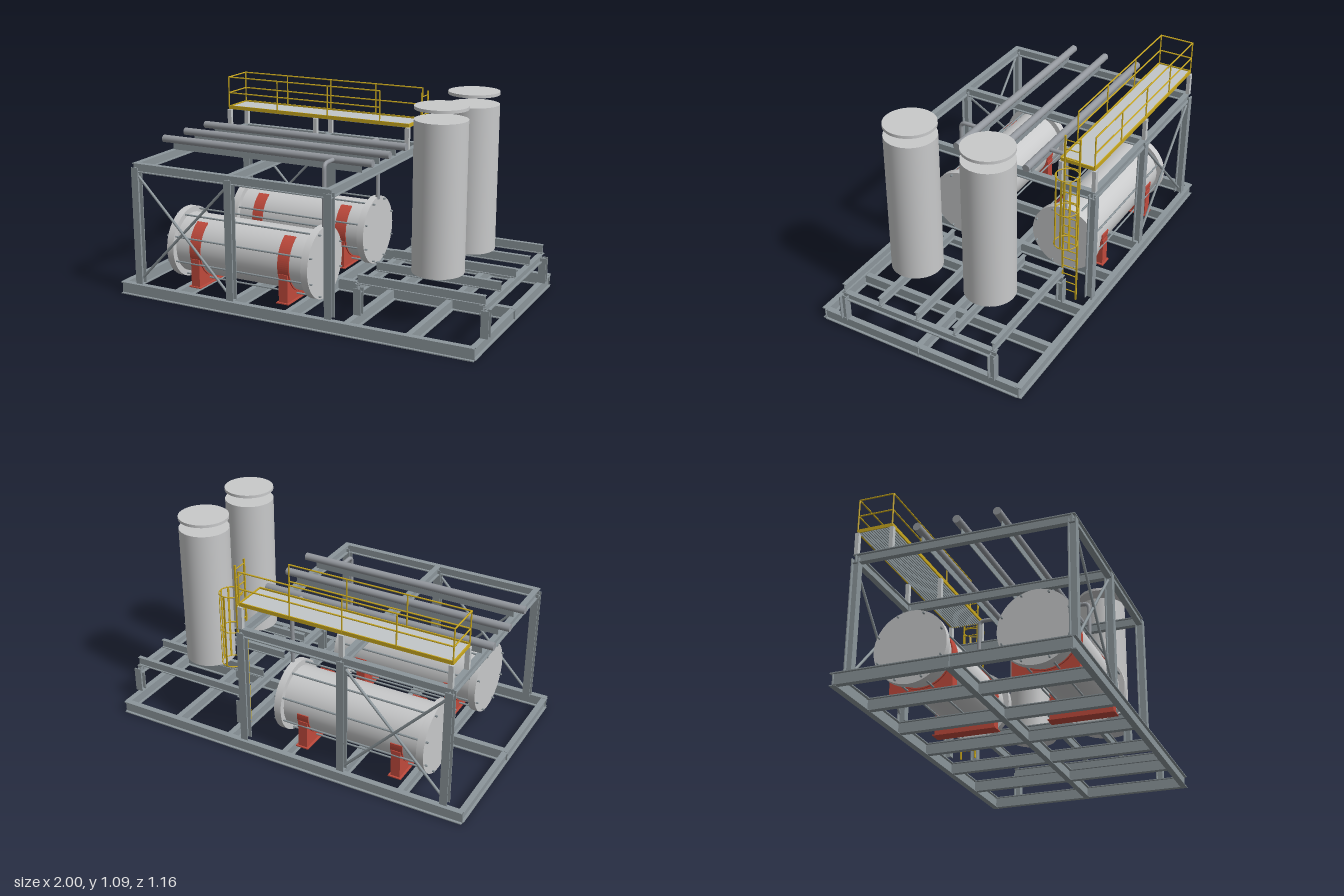
import * as THREE from 'three';

const mat = (name, color) => {
  const m = new THREE.MeshStandardMaterial({ color, side: THREE.DoubleSide });
  m.name = name;
  return m;
};

export function createModel() {
  const root = new THREE.Group();
  const steel = mat('steelGrey', 0x8c969b);
  const pipeGrey = mat('pipeGrey', 0x94989e);
  const shell = mat('tankGrey', 0xc8c9ca);
  const deckGrey = mat('deckGrey', 0xc2c6c8);
  const red = mat('saddleRed', 0xc04a3c);
  const yellow = mat('safetyYellow', 0xc9a81e);

  const V = (x, y, z) => new THREE.Vector3(x, y, z);
  const group = (name, parent = root) => {
    const g = new THREE.Group();
    g.name = name;
    parent.add(g);
    return g;
  };
  const add = (parent, name, geo, m, x = 0, y = 0, z = 0) => {
    const mesh = new THREE.Mesh(geo, m);
    mesh.name = name;
    mesh.position.set(x, y, z);
    parent.add(mesh);
    return mesh;
  };
  // Box given by its extents
  const box = (p, name, m, x0, x1, y0, y1, z0, z1) =>
    add(p, name, new THREE.BoxGeometry(x1 - x0, y1 - y0, z1 - z0), m, (x0 + x1) / 2, (y0 + y1) / 2, (z0 + z1) / 2);
  // Round bar between two points
  const rod = (p, name, m, a, b, r, seg = 8) => {
    const d = b.clone().sub(a);
    const mesh = add(p, name, new THREE.CylinderGeometry(r, r, d.length(), seg), m);
    mesh.position.copy(a).add(b).multiplyScalar(0.5);
    mesh.quaternion.setFromUnitVectors(V(0, 1, 0), d.normalize());
    return mesh;
  };
  // I-section beam centred on x, y, z and running along one axis
  const beam = (p, name, axis, len, h, w, x, y, z, t = 0.005) => {
    const H = h / 2, W = w / 2, s = t / 2;
    const pts = [[-W, -H], [W, -H], [W, -H + t], [s, -H + t], [s, H - t], [W, H - t], [W, H], [-W, H],
      [-W, H - t], [-s, H - t], [-s, -H + t], [-W, -H + t]].map(q => new THREE.Vector2(...q));
    const geo = new THREE.ExtrudeGeometry(new THREE.Shape(pts), { depth: len, bevelEnabled: false });
    geo.translate(0, 0, -len / 2);
    if (axis === 'x') geo.rotateY(Math.PI / 2);
    if (axis === 'y') geo.rotateX(-Math.PI / 2);
    return add(p, name, geo, steel, x, y, z);
  };

  // Base skid
  const base = group('baseFrame');
  for (const z of [-0.562, 0, 0.562]) beam(base, 'baseLongBeam', 'x', 1.97, 0.065, 0.032, -0.005, 0.0325, z);
  for (let i = 0; i < 7; i++) beam(base, 'baseCrossBeam', 'z', 1.12, 0.062, 0.03, -0.98 + i * 0.325, 0.0325, 0);

  // Main portal frame
  const frame = group('mainFrame');
  const bays = [-0.885, -0.33, 0.225];
  for (const s of [-1, 1]) {
    for (const x of bays) beam(frame, 'column', 'y', 0.625, 0.04, 0.04, x, 0.3775, s * 0.54);
    beam(frame, 'topLongBeam', 'x', 1.14, 0.047, 0.03, -0.33, 0.689, s * 0.54);
    rod(frame, 'brace', steel, V(-0.87, 0.1, s * 0.54), V(-0.35, 0.645, s * 0.54), 0.007);
    rod(frame, 'brace', steel, V(-0.87, 0.645, s * 0.545), V(-0.35, 0.1, s * 0.545), 0.007);
  }
  for (const x of bays) beam(frame, 'topCrossBeam', 'z', 1.08, 0.047, 0.03, x, 0.689, 0);

  // Header pipes on thin shoes
  const pipes = group('headerPipes');
  for (const z of [-0.2, 0, 0.2]) {
    rod(pipes, 'headerPipe', pipeGrey, V(-0.95, 0.765, z), V(0.29, 0.765, z), 0.02, 24);
    box(pipes, 'pipeShoe', steel, -0.89, 0.23, 0.712, 0.748, z - 0.002, z + 0.002);
  }

  // Horizontal vessels with end flanges, tie rods and saddles
  const TY = 0.257;
  for (const s of [-1, 1]) {
    const z = s * 0.31;
    const vessel = group('horizontalVessel');
    rod(vessel, 'vesselShell', shell, V(-0.71, TY, z), V(0.045, TY, z), 0.157, 48);
    rod(vessel, 'endFlange', shell, V(-0.745, TY, z), V(-0.707, TY, z), 0.187, 48);
    rod(vessel, 'endFlange', shell, V(0.042, TY, z), V(0.08, TY, z), 0.187, 48);
    for (let i = 0; i < 8; i++) {
      const a = (i + 0.5) * Math.PI / 4, y = TY + 0.174 * Math.sin(a), bz = z + 0.174 * Math.cos(a);
      rod(vessel, 'tieRod', steel, V(-0.758, y, bz), V(0.093, y, bz), 0.005);
    }
    for (const x of [-0.59, -0.07]) {
      // Wrap strap: local x becomes +z after the turn
      const strap = new THREE.Shape();
      strap.absarc(0, 0, 0.163, Math.PI / 3, -Math.PI, true);
      strap.absarc(0, 0, 0.155, -Math.PI, Math.PI / 3, false);
      const web = new THREE.Shape();
      web.moveTo(-0.163, -0.187);
      web.lineTo(0.163, -0.187);
      web.lineTo(0.163, -0.04);
      web.lineTo(0.152, -0.04);
      web.absarc(0, 0, 0.157, -0.26, -Math.PI + 0.26, true);
      web.lineTo(-0.163, -0.04);
      for (const [name, shape, d] of [['saddleStrap', strap, 0.064], ['saddle', web, 0.05]]) {
        const geo = new THREE.ExtrudeGeometry(shape, { depth: d, bevelEnabled: false, curveSegments: 32 });
        geo.translate(0, 0, -d / 2).rotateY(-Math.PI / 2);
        add(vessel, name, geo, red, x, TY, z);
      }
      box(vessel, 'saddleFoot', red, x - 0.035, x + 0.035, 0.065, 0.071, z - 0.172, z + 0.172);
    }
    // Riser from vessel to header
    const path = new THREE.CurvePath();
    path.add(new THREE.LineCurve3(V(0.077, 0.43, z), V(0.077, 0.735, z)));
    path.add(new THREE.QuadraticBezierCurve3(V(0.077, 0.735, z), V(0.077, 0.765, z), V(0.077, 0.765, z - s * 0.03)));
    path.add(new THREE.LineCurve3(V(0.077, 0.765, z - s * 0.03), V(0.077, 0.765, s * 0.2)));
    add(vessel, 'riserPipe', new THREE.TubeGeometry(path, 48, 0.011, 12), pipeGrey);
  }

  // Raised stand and upright tanks
  const stand = group('tankStand');
  for (const x of [0.325, 0.98]) {
    beam(stand, 'standCrossBeam', 'z', 0.88, 0.044, 0.03, x === 0.98 ? 0.965 : x, 0.2, 0);
    for (const z of [-0.427, 0.427]) beam(stand, 'standLeg', 'y', 0.135, 0.036, 0.04, x, 0.1325, z);
  }
  for (const z of [-0.425, -0.213, 0, 0.213, 0.425])
    beam(stand, 'standLongBeam', 'x', 0.655, 0.047, 0.022, 0.648, 0.2465, z, 0.004);
  for (const z of [-0.213, 0.213]) {
    const tank = group('uprightTank');
    rod(tank, 'tankBody', shell, V(0.65, 0.272, z), V(0.65, 1.025, z), 0.13, 48);
    rod(tank, 'tankLid', shell, V(0.65, 1.075, z), V(0.65, 1.09, z), 0.13, 48);
  }

  // Walkway deck, toe boards and support posts
  const walk = group('walkway');
  const X0 = -0.89, X1 = 0.23, Z0 = -0.543, Z1 = -0.36;
  box(walk, 'deck', deckGrey, X0, X1, 0.838, 0.843, Z0, Z1);
  for (let i = 0; i < 14; i++) {
    const z = Z0 + 0.01 + i * 0.0125;
    box(walk, 'gratingBar', steel, X0, X1, 0.828, 0.838, z - 0.002, z + 0.002);
  }
  for (const z of [Z0, Z1]) {
    box(walk, 'toeBoard', yellow, X0, X1, 0.832, 0.852, z - 0.003, z + 0.003);
    for (const x of bays) box(walk, 'walkwayPost', deckGrey, x - 0.012, x + 0.012, 0.712, 0.83, z - 0.01, z + 0.01);
  }
  for (const x of [X0, X1]) box(walk, 'toeBoard', yellow, x - 0.003, x + 0.003, 0.832, 0.85, Z0, Z1);

  // Guard rails
  const rails = group('guardRails');
  for (const [z, xEnd, n] of [[Z0, X1, 4], [Z1, 0.06, 3]]) {
    for (const y of [0.925, 1.015]) rod(rails, 'rail', yellow, V(X0, y, z), V(xEnd, y, z), 0.004);
    for (let i = 0; i <= n; i++) {
      const x = X0 + (xEnd - X0) * i / n;
      rod(rails, 'railPost', yellow, V(x, 0.84, z), V(x, 1.017, z), 0.004);
    }
  }
  for (const y of [0.925, 1.015]) rod(rails, 'endRail', yellow, V(X0, y, Z0), V(X0, y, Z1), 0.004);

  // Ladder with safety cage
  const ladder = group('ladder');
  const LX = 0.283, LZ = -0.45;
  for (const z of [LZ - 0.04, LZ + 0.04]) box(ladder, 'ladderStile', yellow, LX - 0.004, LX + 0.004, 0.066, 1.015, z - 0.004, z + 0.004);
  for (let y = 0.11; y < 1; y += 0.049) rod(ladder, 'rung', yellow, V(LX, y, LZ - 0.04), V(LX, y, LZ + 0.04), 0.003);
  for (const y of [0.445, 0.64, 0.838])
    add(ladder, 'cageHoop', new THREE.TorusGeometry(0.058, 0.003, 6, 32).rotateX(Math.PI / 2), yellow, 0.338, y, -0.454);
  for (let i = -2; i <= 2; i++) {
    const a = i * 0.75;
    const bar = add(ladder, 'cageBar', new THREE.BoxGeometry(0.003, 0.393, 0.01), yellow,
      0.338 + 0.058 * Math.cos(a), 0.6415, -0.454 + 0.058 * Math.sin(a));
    bar.rotation.y = -a;
  }
  return root;
}
